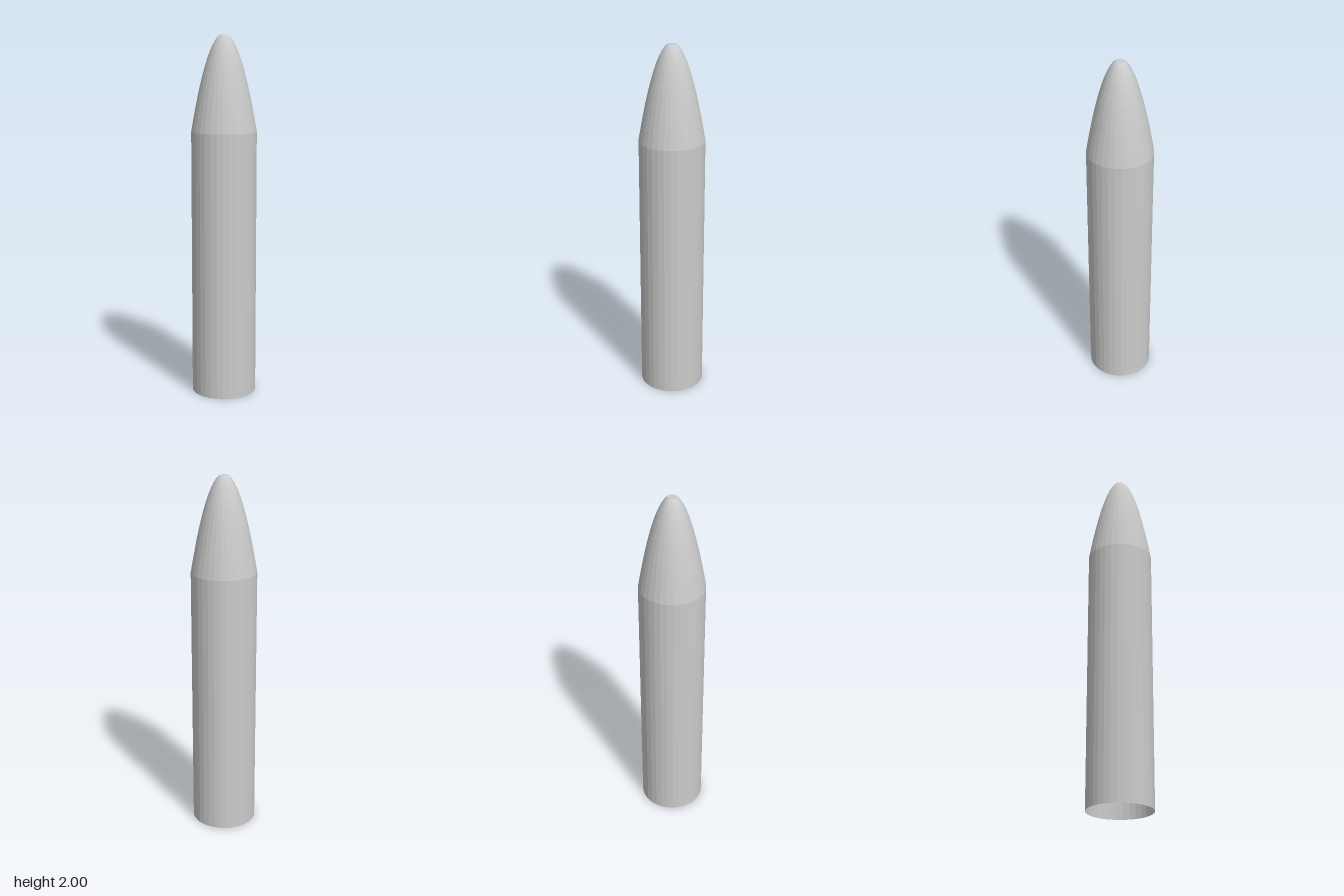
import * as THREE from 'three';

const SIDES = 32;
const RADIUS = 0.18;
const SHOULDER = 1.48; // height where the nose begins
const TIP_RADIUS = 0.025;

export function createModel() {
  const group = new THREE.Group();
  group.name = 'bullet';
  const material = new THREE.MeshStandardMaterial({
    color: 0xcccccc, flatShading: true, side: THREE.DoubleSide,
  });
  const add = (name, geometry, y = 0) => {
    const mesh = new THREE.Mesh(geometry, material);
    mesh.name = name;
    mesh.position.y = y;
    group.add(mesh);
  };

  // Straight tube, open at the bottom
  add('body', new THREE.CylinderGeometry(RADIUS, RADIUS, SHOULDER, SIDES, 1, true), SHOULDER / 2);

  // Parabolic nose, stepped evenly in radius so the rings tighten towards the tip
  const profile = [];
  const steps = 12;
  for (let i = 0; i <= steps; i++) {
    const r = THREE.MathUtils.lerp(RADIUS, TIP_RADIUS, i / steps);
    const t = (RADIUS ** 2 - r ** 2) / (RADIUS ** 2 - TIP_RADIUS ** 2);
    profile.push(new THREE.Vector2(r, SHOULDER + (2 - SHOULDER) * t));
  }
  add('nose', new THREE.LatheGeometry(profile, SIDES));

  // Small flat disc closing the tip
  const disc = new THREE.CircleGeometry(TIP_RADIUS, SIDES).rotateX(-Math.PI / 2);
  add('tip', disc, 2);

  return group;
}
